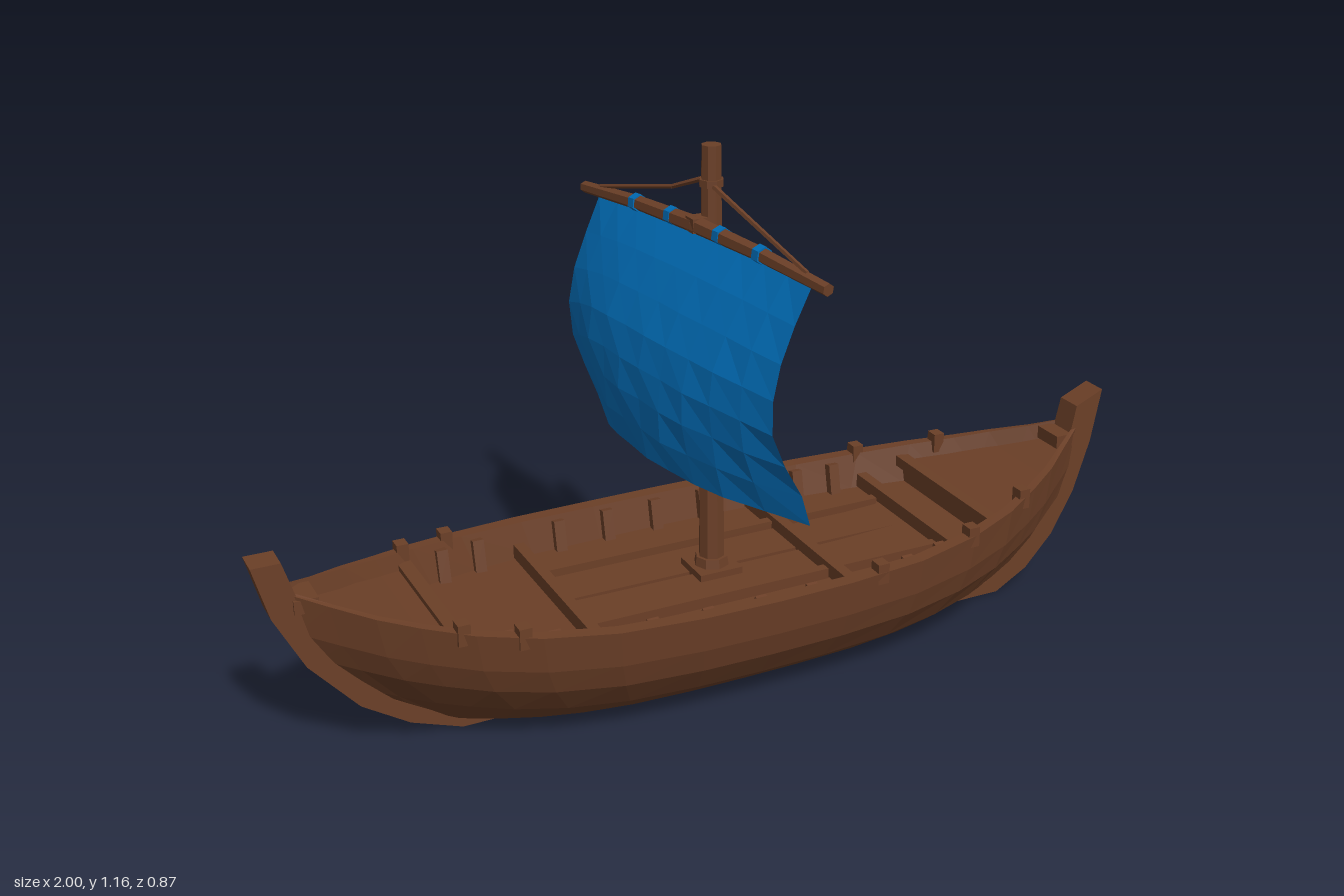
import * as THREE from 'three';

const wood = new THREE.MeshStandardMaterial({ color: 0x6b3f27, flatShading: true });
wood.name = 'brown wood';
const cloth = new THREE.MeshStandardMaterial({ color: 0x006bb4, flatShading: true, side: THREE.DoubleSide });
cloth.name = 'blue cloth';

const V = (x, y, z) => new THREE.Vector3(x, y, z);

// piecewise linear lookup, keys ascending
function lookup(table, t) {
  for (let i = 1; i < table.length; i++) {
    const [a, va] = table[i - 1], [b, vb] = table[i];
    if (t <= b) return va + (vb - va) * Math.max(0, (t - a) / (b - a));
  }
  return table[table.length - 1][1];
}

// half-breadth of the boat along its length, 0 = midship, 1 = stem
const PLAN = [[0, 1], [0.18, 0.99], [0.37, 0.95], [0.53, 0.85], [0.66, 0.71], [0.76, 0.55], [0.84, 0.41], [0.92, 0.23], [1, 0.06]];

// hull lines: half-width, height midship, height at stem, left reach, right reach
const GUNWALE = [0.308, 0.28, 0.385, 0.94, 0.95];
const INNER_TOP = [0.275, 0.28, 0.385, 0.93, 0.94];
const INNER_FLOOR = [0.26, 0.205, 0.27, 0.88, 0.9];
const ROWS = [
  [0, 0.004, 0.02, 0.66, 0.72],
  [0.13, 0.004, 0.03, 0.68, 0.76],
  [0.217, 0.07, 0.13, 0.80, 0.86],
  [0.221, 0.07, 0.13, 0.80, 0.86],
  [0.270, 0.14, 0.22, 0.88, 0.92],
  [0.275, 0.14, 0.22, 0.88, 0.92],
  [0.294, 0.2, 0.29, 0.92, 0.94],
  [0.299, 0.2, 0.29, 0.92, 0.94],
  GUNWALE, INNER_TOP, INNER_FLOOR,
  [0, 0.205, 0.27, 0.88, 0.9],
];

function hullPoint([w, yMid, yEnd, left, right], s, side) {
  const a = Math.abs(s);
  return V(s * (s < 0 ? left : right), yMid + (yEnd - yMid) * a ** 3, side * w * lookup(PLAN, a));
}
const atX = (row, x, side) => hullPoint(row, x / (x < 0 ? row[3] : row[4]), side);

// surface through a grid of points
function gridGeometry(grid, flip = false) {
  const n = grid[0].length, index = [];
  for (let i = 0; i < grid.length - 1; i++) for (let j = 0; j < n - 1; j++) {
    const a = i * n + j, b = a + n, c = b + 1, d = a + 1;
    index.push(...(flip ? [a, c, b, a, d, c] : [a, b, c, a, c, d]));
  }
  const g = new THREE.BufferGeometry().setFromPoints(grid.flat());
  g.setIndex(index);
  g.computeVertexNormals();
  return g;
}

export function createModel() {
  const model = new THREE.Group();
  model.name = 'sailingBoat';
  const add = (name, geometry, material = wood) => {
    const m = new THREE.Mesh(geometry, material);
    m.name = name;
    model.add(m);
    return m;
  };
  const box = (name, w, h, d, x, y, z) => {
    const m = add(name, new THREE.BoxGeometry(w, h, d));
    m.position.set(x, y, z);
    return m;
  };
  const rod = (name, a, b, r0, r1, sides = 6, material = wood) => {
    const m = add(name, new THREE.CylinderGeometry(r1, r0, a.distanceTo(b), sides), material);
    m.position.copy(a).lerp(b, 0.5);
    m.quaternion.setFromUnitVectors(V(0, 1, 0), b.clone().sub(a).normalize());
    return m;
  };

  // planked hull with inner wall and floor
  const half = PLAN.map(p => p[0]);
  const stations = [...half.slice(1).reverse().map(s => -s), ...half];
  for (const side of [1, -1]) {
    const grid = stations.map(s => ROWS.map(r => hullPoint(r, s, side)));
    add(side > 0 ? 'hullFrontHalf' : 'hullBackHalf', gridGeometry(grid, side < 0));
  }

  // keel with both curved stems
  const outline = [
    [-1, 0.455], [-0.97, 0.34], [-0.91, 0.22], [-0.81, 0.105], [-0.71, 0.04], [-0.6, 0],
    [0.73, 0], [0.81, 0.045], [0.88, 0.12], [0.935, 0.22], [0.975, 0.34], [1, 0.465],
    [0.93, 0.435], [0.91, 0.34], [0.87, 0.23], [0.81, 0.13], [0.7, 0.03],
    [-0.6, 0.03], [-0.74, 0.1], [-0.84, 0.2], [-0.9, 0.32], [-0.94, 0.455],
  ].map(p => new THREE.Vector2(...p));
  const keel = new THREE.ExtrudeGeometry(new THREE.Shape(outline), { depth: 0.066, bevelEnabled: false });
  keel.translate(0, 0, -0.033);
  const kp = keel.attributes.position;
  for (let i = 0; i < kp.count; i++) kp.setZ(i, kp.getZ(i) * (1.15 - 0.5 * kp.getY(i)));
  add('keelAndStems', keel);

  // raised end decks, each with a bulkhead and an edge beam
  for (const [name, xs] of [['leftDeck', [0.6, 0.7, 0.8, 0.91]], ['rightDeck', [-0.91, -0.8, -0.7, -0.64]]]) {
    const across = (row, x, dy) => [1, -1].map(side => atX(row, x, side).add(V(0, dy, 0)));
    add(name, gridGeometry(xs.map(x => across(INNER_TOP, x, -0.035))));
    const edge = xs[0] > 0 ? xs[0] : xs[3];
    const wall = [across(INNER_TOP, edge, -0.035), across(INNER_FLOOR, edge, -0.01)];
    add(name + 'Bulkhead', gridGeometry(wall, edge > 0));
    box(name + 'Beam', 0.03, 0.025, wall[0][0].z * 1.96, edge, wall[0][0].y + 0.002, 0);
  }

  // cross beams
  for (const x of [-0.36, 0.22, 0.5]) {
    const e = atX(INNER_FLOOR, x, 1);
    box('crossBeam', 0.025, 0.032, e.z * 2, x, e.y + 0.02, 0);
  }

  // floor rails and boards
  for (const side of [1, -1]) {
    box('floorRail', 0.85, 0.025, 0.022, 0.06, 0.217, side * 0.13);
    box('floorBoard', 0.8, 0.01, 0.108, 0.06, 0.209, side * 0.06);
  }

  // ribs along the inner wall and pegs on the rim
  for (const side of [1, -1]) {
    for (const x of [-0.55, -0.46, -0.26, -0.14, -0.02, 0.1, 0.34, 0.43]) {
      const a = atX(INNER_FLOOR, x, side), b = atX(INNER_TOP, x, side);
      const rib = box('rib', 0.025, 0.075, 0.028, x, (a.y + b.y) / 2 - 0.008, (a.z + b.z) / 2 - side * 0.006);
      rib.rotation.x = side * 0.2;
    }
    for (const x of [-0.64, -0.53, 0.25, 0.5, 0.68]) {
      const p = atX(GUNWALE, x, side);
      box('rimPeg', 0.026, 0.046, 0.03, x, p.y - 0.003, p.z - side * 0.016);
    }
  }
  for (const x of [-0.9, 0.9]) box('stemCleat', 0.05, 0.03, 0.075, x, 0.355, 0);

  // mast and its step
  box('mastStep', 0.1, 0.025, 0.1, -0.005, 0.217, 0);
  rod('mastCollar', V(-0.005, 0.225, 0), V(-0.005, 0.25, 0), 0.04, 0.036, 8);
  rod('mast', V(-0.005, 0.2, 0), V(-0.005, 1.16, 0), 0.029, 0.021, 8);

  // yard, slightly bowed and skewed
  const yardX = z => -0.04 + 0.135 * z;
  const yardY = z => 0.998 - 0.1 * z * z + 0.01 * z;
  const yardAt = z => V(yardX(z), yardY(z), z);
  const yardZ = [-0.435, -0.22, 0, 0.22, 0.435];
  const yardR = [0.013, 0.016, 0.019, 0.016, 0.013];
  for (let i = 0; i < 4; i++) rod('yard', yardAt(yardZ[i]), yardAt(yardZ[i + 1]), yardR[i], yardR[i + 1]);
  box('yardLashing', 0.06, 0.03, 0.035, -0.025, 1.0, 0);

  // sail, billowing and pulled back at the lower corners
  const FOOT = [[-0.37, 0.43], [-0.3, 0.47], [-0.2, 0.51], [0, 0.51], [0.25, 0.495], [0.38, 0.47]];
  const MID = [[0, 0], [0.2, 0.07], [0.45, 0.125], [0.65, 0.14], [0.85, 0.133], [1, 0.115]];
  const EDGE = [[0, 0], [0.25, 0.06], [0.45, 0.08], [0.62, 0.072], [0.85, 0.01], [1, -0.02]];
  const sail = [];
  for (let i = 0; i <= 10; i++) {
    const u = i / 10, z0 = -0.37 + 0.75 * u, edge = Math.abs(2 * u - 1) ** 2.5, column = [];
    for (let j = 0; j <= 7; j++) {
      const v = j / 7, top = yardY(z0) - 0.012;
      const belly = lookup(MID, v) * (1 - edge) + lookup(EDGE, v) * edge;
      const wrinkle = 0.004 * Math.sin(i * 2.3 + j * 1.7) * v;
      column.push(V(yardX(z0) - belly + wrinkle, top + (lookup(FOOT, z0) - top) * v, z0 * (1.015 - 0.05 * v ** 3)));
    }
    sail.push(column);
  }
  add('sail', gridGeometry(sail), cloth);

  // cloth ties around the yard
  for (const z of [-0.22, -0.085, 0.09, 0.225]) {
    rod('sailTie', yardAt(z - 0.01), yardAt(z + 0.01), 0.0195, 0.0195, 6, cloth);
  }

  // ropes from the mast head to the yard
  rod('rope', V(-0.01, 1.08, 0.01), yardAt(0.37).add(V(0, 0.01, 0)), 0.006, 0.005, 5);
  const bend = V(-0.04, 1.05, -0.11);
  rod('rope', V(-0.01, 1.09, -0.01), bend, 0.006, 0.005, 5);
  rod('rope', bend, yardAt(-0.37).add(V(0, 0.01, 0)), 0.005, 0.005, 5);
  rod('ropeCollar', V(-0.005, 1.075, 0), V(-0.005, 1.09, 0), 0.026, 0.026, 8);

  return model;
}
